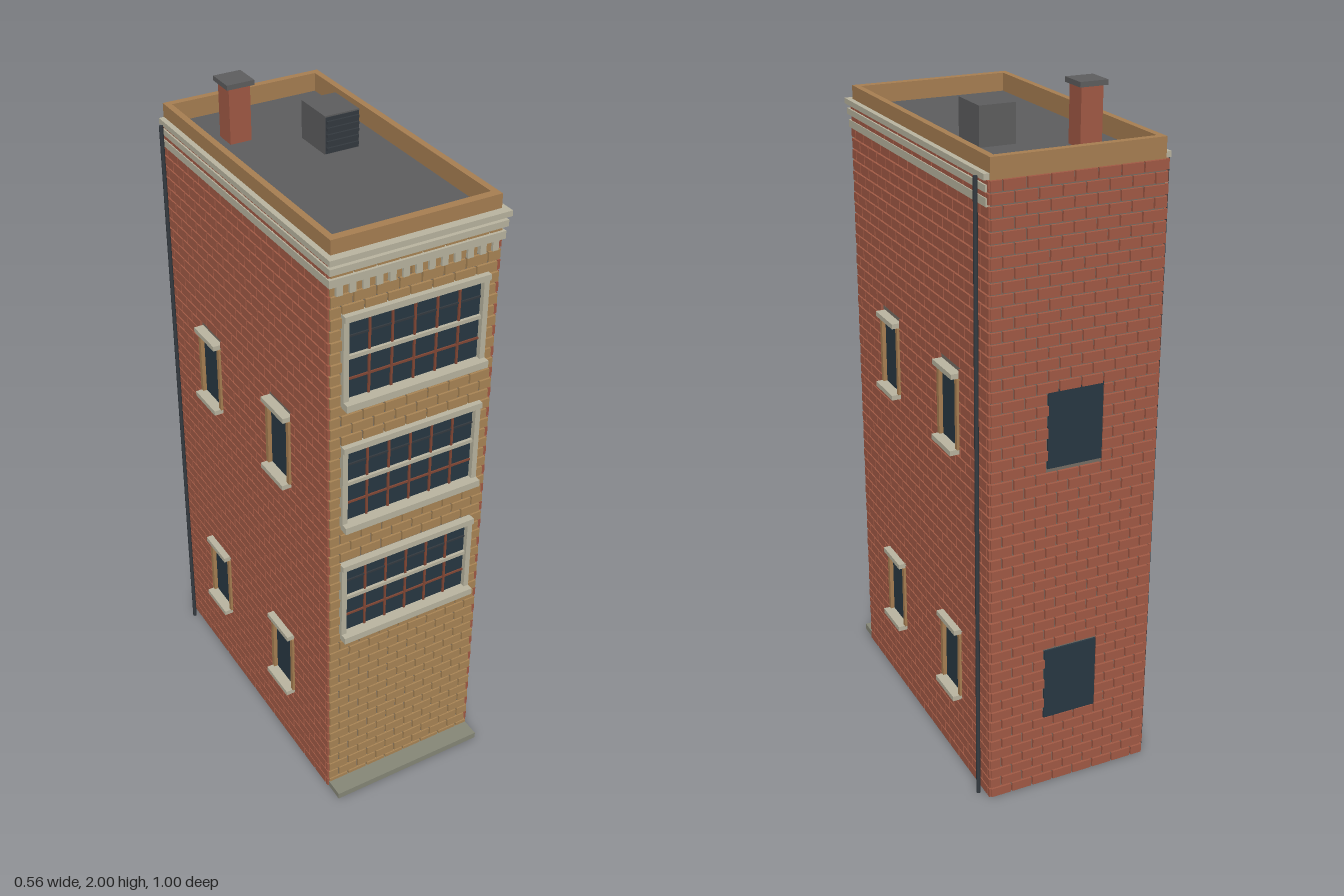
import * as THREE from 'three';
import { mergeGeometries } from 'three/addons/utils/BufferGeometryUtils.js';

const mat = (name, color) => {
  const m = new THREE.MeshStandardMaterial({ color });
  m.name = name;
  return m;
};

// Box geometry from its minimum and maximum corners
const span = (x0, x1, y0, y1, z0, z1) =>
  new THREE.BoxGeometry(x1 - x0, y1 - y0, z1 - z0)
    .translate((x0 + x1) / 2, (y0 + y1) / 2, (z0 + z1) / 2);

// Running-bond bricks on the local plane z = 0, left out where holes are
function brickGeometry(u0, u1, top, holes) {
  const length = 0.066, course = 0.0326, gap = 0.005, depth = 0.009;
  const bricks = [];
  for (let row = 0; row * course < top - 0.01; row++) {
    const y0 = row * course + gap / 2;
    const y1 = Math.min((row + 1) * course - gap / 2, top);
    for (let u = u0 - (row % 2 ? length / 2 : 0); u < u1; u += length) {
      let pieces = [[Math.max(u + gap / 2, u0), Math.min(u + length - gap / 2, u1)]];
      for (const [a, b, c, d] of holes) {
        if (y1 <= c + 0.004 || y0 >= d - 0.004) continue;
        pieces = pieces.flatMap(([p, q]) => [[p, Math.min(q, a)], [Math.max(p, b), q]]);
      }
      for (const [p, q] of pieces) {
        if (q - p > 0.004) bricks.push(span(p, q, y0, y1, 0, depth));
      }
    }
  }
  return mergeGeometries(bricks);
}

export function createModel() {
  const redBrick = mat('red brick', 0xa25a45);
  const tanBrick = mat('tan brick', 0xaa8656);
  const mortar = mat('mortar', 0x766e65);
  const stone = mat('pale stone', 0xbab5a0);
  const stepStone = mat('step stone', 0x878878);
  const coping = mat('parapet tan', 0xa87f52);
  const glass = mat('window glass', 0x283843);
  const roofGrey = mat('roof grey', 0x5e5e5f);
  const metal = mat('dark metal', 0x343a40);
  const barRed = mat('window bar red', 0x824735);

  const model = new THREE.Group();
  const add = (parent, name, material, geometry) => {
    const mesh = new THREE.Mesh(geometry, material);
    mesh.name = name;
    parent.add(mesh);
    return mesh;
  };
  const group = (name, parent = model) => {
    const g = new THREE.Group();
    g.name = name;
    parent.add(g);
    return g;
  };

  // Core of the building, roof deck and front step
  add(model, 'core', mortar, span(-0.246, 0.246, 0, 1.82, -0.494, 0.437));
  add(model, 'roofDeck', roofGrey, span(-0.23, 0.23, 1.82, 1.826, -0.475, 0.42));
  add(model, 'frontStep', stepStone, span(-0.25, 0.25, 0, 0.02, 0.43, 0.5));

  // Front wall and its three wide windows
  const front = group('frontWall');
  front.position.z = 0.435;
  const frontFloors = [0.605, 1.005, 1.4];
  add(front, 'frontBricks', tanBrick,
    brickGeometry(-0.25, 0.25, 1.825, frontFloors.map(y => [-0.215, 0.215, y, y + 0.265])));
  for (const y of frontFloors) {
    const w = group('frontWindow', front);
    w.position.y = y;
    add(w, 'glass', glass, span(-0.205, 0.205, 0.01, 0.26, 0, 0.003));
    add(w, 'sill', stone, span(-0.216, 0.216, -0.005, 0.016, 0, 0.037));
    add(w, 'lintel', stone, span(-0.216, 0.216, 0.252, 0.27, 0, 0.025));
    add(w, 'transom', stone, span(-0.2, 0.2, 0.136, 0.147, 0, 0.012));
    for (const s of [-1, 1]) {
      add(w, 'jamb', stone, span(-0.008, 0.008, 0.01, 0.257, 0, 0.018)).position.x = s * 0.208;
    }
    for (let i = -2; i <= 2; i++) {
      add(w, 'verticalBar', barRed, span(-0.003, 0.003, 0.012, 0.255, 0, 0.008)).position.x = i * 0.067;
    }
    add(w, 'lowerCrossBar', barRed, span(-0.2, 0.2, 0.072, 0.078, 0, 0.007));
    add(w, 'upperCrossBar', metal, span(-0.2, 0.2, 0.198, 0.203, 0, 0.007));
  }

  // Side walls with narrow windows; local x runs along the wall
  const sideFloors = [0.225, 1.02];
  for (const s of [-1, 1]) {
    const side = group(s > 0 ? 'leftWall' : 'rightWall');
    side.position.x = s * 0.245;
    side.rotation.y = s * Math.PI / 2;
    const columns = [0.172, -0.246].map(z => -s * z);
    const [u0, u1] = s > 0 ? [-0.44, 0.498] : [-0.498, 0.44];
    const holes = columns.flatMap(u => sideFloors.map(y => [u - 0.066, u + 0.066, y, y + 0.23]));
    add(side, 'sideBricks', redBrick, brickGeometry(u0, u1, 1.825, holes));
    for (const u of columns) for (const y of sideFloors) {
      const w = group('sideWindow', side);
      w.position.set(u, y, 0);
      add(w, 'glass', glass, span(-0.054, 0.054, 0.01, 0.222, 0, 0.004));
      add(w, 'sill', stone, span(-0.063, 0.063, -0.003, 0.012, 0, 0.036));
      add(w, 'lintel', stone, span(-0.063, 0.063, 0.22, 0.235, 0, 0.03));
      for (const e of [-1, 1]) {
        add(w, 'jamb', coping, span(-0.007, 0.007, 0.012, 0.22, 0, 0.016)).position.x = e * 0.06;
      }
    }
    // Drainpipe
    const pipe = add(model, 'drainpipe', metal, new THREE.CylinderGeometry(0.006, 0.006, 1.83, 16));
    pipe.position.set(s * 0.271, 0.915, -0.46);
  }

  // Back wall with plain flush windows
  const back = group('backWall');
  back.position.z = -0.493;
  back.rotation.y = Math.PI;
  add(back, 'backBricks', redBrick,
    brickGeometry(-0.25, 0.25, 1.825, sideFloors.map(y => [-0.082, 0.082, y, y + 0.225])));
  for (const y of sideFloors) {
    add(back, 'backWindow', glass, span(-0.082, 0.082, y, y + 0.225, 0, 0.006));
  }

  // Stone cornice bands around the front and sides, with dentils on the front
  const cornice = group('cornice');
  const bands = [
    [1.757, 1.779, 0.257, 0.452], [1.794, 1.812, 0.259, 0.458], [1.824, 1.84, 0.263, 0.465],
  ];
  for (const [y0, y1, x, z] of bands) {
    add(cornice, 'frontBand', stone, span(-x, x, y0, y1, 0.43, z));
    for (const s of [-1, 1]) {
      add(cornice, 'sideBand', stone, span(-(x - 0.24) / 2, (x - 0.24) / 2, y0, y1, -0.49, 0.43))
        .position.x = s * (x + 0.24) / 2;
    }
  }
  for (let i = -6; i <= 6; i++) {
    add(cornice, 'dentil', stone, span(-0.009, 0.009, 1.73, 1.758, 0.435, 0.452)).position.x = i * 0.038;
  }

  // Parapet ring
  const ring = new THREE.Shape([[-0.247, -0.44], [0.247, -0.44], [0.247, 0.493], [-0.247, 0.493]]
    .map(p => new THREE.Vector2(...p)));
  ring.holes.push(new THREE.Path([[-0.228, -0.415], [-0.228, 0.472], [0.228, 0.472], [0.228, -0.415]]
    .map(p => new THREE.Vector2(...p))));
  const parapet = add(model, 'parapet', coping,
    new THREE.ExtrudeGeometry(ring, { depth: 0.062, bevelEnabled: false }));
  parapet.rotation.x = -Math.PI / 2;
  parapet.position.y = 1.818;

  // Chimney
  const chimney = group('chimney');
  add(chimney, 'chimneyStack', redBrick, span(-0.156, -0.092, 1.82, 1.988, -0.322, -0.258));
  add(chimney, 'chimneyCap', roofGrey, span(-0.165, -0.083, 1.986, 2, -0.331, -0.249));

  // Rooftop ventilation unit with louvres facing the front
  const vent = group('ventUnit');
  add(vent, 'ventBody', roofGrey, span(0.034, 0.14, 1.82, 1.936, -0.202, -0.075));
  add(vent, 'ventGrille', metal, span(0.036, 0.138, 1.828, 1.932, -0.076, -0.073));
  for (let i = 0; i < 5; i++) {
    add(vent, 'louvre', metal, span(0.038, 0.136, 1.838 + i * 0.019, 1.846 + i * 0.019, -0.075, -0.067));
  }

  return model;
}
